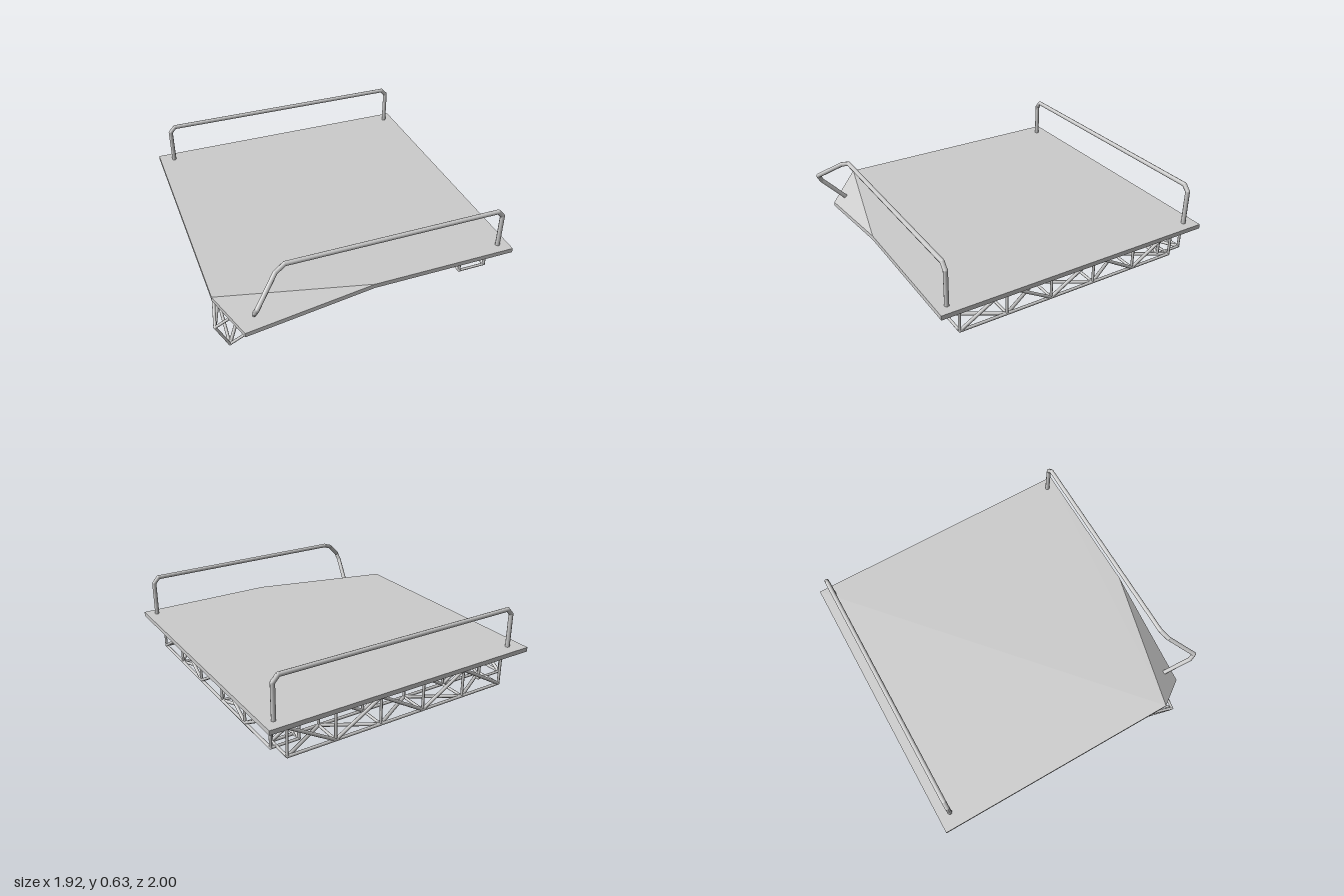
import * as THREE from 'three';
import { mergeGeometries } from 'three/addons/utils/BufferGeometryUtils.js';

const material = new THREE.MeshStandardMaterial({ color: 0xcccccc });
const flatMaterial = new THREE.MeshStandardMaterial({ color: 0xcccccc, flatShading: true });
const V = (x, y, z) => new THREE.Vector3(x, y, z);
const UP = V(0, 1, 0);

// Round bar between two points
function bar(a, b, radius) {
  const dir = b.clone().sub(a);
  const g = new THREE.CylinderGeometry(radius, radius, dir.length(), 8);
  g.applyQuaternion(new THREE.Quaternion().setFromUnitVectors(UP, dir.normalize()));
  const mid = a.clone().add(b).multiplyScalar(0.5);
  return g.translate(mid.x, mid.y, mid.z);
}

function joint(p, radius) {
  return new THREE.SphereGeometry(radius, 8, 6).translate(p.x, p.y, p.z);
}

function addMesh(group, name, geometry, mat = material) {
  const mesh = new THREE.Mesh(geometry, mat);
  mesh.name = name;
  group.add(mesh);
}

// Bent pipe through a list of points
function pipe(points, radius) {
  const parts = points.map((p) => joint(p, radius));
  for (let i = 1; i < points.length; i++) parts.push(bar(points[i - 1], points[i], radius));
  return mergeGeometries(parts);
}

// Box truss through square frames, with one zigzag diagonal per face
function truss(frames) {
  const parts = [];
  frames.forEach((frame, i) => {
    for (let k = 0; k < 4; k++) {
      const n = (k + 1) % 4;
      parts.push(joint(frame[k], 0.01), bar(frame[k], frame[n], 0.009));
      if (i === 0) continue;
      const last = frames[i - 1];
      parts.push(bar(last[k], frame[k], 0.01));
      const flip = (i + (k < 2 ? 0 : 1)) % 2;
      // Opposite faces run k -> n in opposite senses, so shift their phase to form crosses
      const swap = k < 2 ? flip : 1 - flip;
      const cross = (swap + (k < 2 ? 0 : 1)) % 2;
      const even = k < 2 ? cross === 0 : cross === 1;
      parts.push(even ? bar(last[k], frame[n], 0.011) : bar(last[n], frame[k], 0.011));
    }
  });
  return mergeGeometries(parts);
}

// Convex slab of constant vertical thickness, corners anticlockwise from above
function slab(corners, thickness) {
  const pos = [];
  const low = corners.map((c) => c.clone().setY(c.y - thickness));
  const tri = (...pts) => pts.forEach((p) => pos.push(p.x, p.y, p.z));
  corners.forEach((c, i) => {
    const n = (i + 1) % corners.length;
    if (i > 0 && n > 0) {
      tri(corners[0], c, corners[n]);
      tri(low[0], low[n], low[i]);
    }
    tri(c, low[i], low[n]);
    tri(c, low[n], corners[n]);
  });
  const g = new THREE.BufferGeometry();
  g.setAttribute('position', new THREE.Float32BufferAttribute(pos, 3));
  g.computeVertexNormals();
  return g;
}

// Square truss frame facing z, moved and rolled about its centre
function frameZ(cx, cy, z, roll = 0) {
  const h = 0.0925;
  return [[-h, -h], [h, -h], [h, h], [-h, h]].map(([x, y]) =>
    V(x, y, 0).applyAxisAngle(V(0, 0, 1), roll).add(V(cx, cy, z)));
}

export function createModel() {
  const model = new THREE.Group();
  model.name = 'damagedPlatform';

  // Deck with its front right corner folded down
  const foldA = V(-0.925, 0.365, 0.66);
  const foldB = V(0.02, 0.365, 0.895);
  addMesh(model, 'deck', slab(
    [foldA, foldB, V(0.975, 0.365, 0.895), V(0.975, 0.365, -1), V(-0.925, 0.365, -1)], 0.03), flatMaterial);
  addMesh(model, 'bentCorner', slab([foldA, V(-0.79, 0.22, 0.873), foldB], 0.03), flatMaterial);

  // Straight trusses under the left and back edges
  const cell = 0.316;
  const midY = 0.2325;
  const left = [], right = [], back = [];
  for (let i = 0; i <= 5; i++) {
    const z = -0.84 + i * cell;
    left.push(frameZ(0.795, midY, z));
    back.push(frameZ(-0.87, midY, -0.73 + i * cell).map((p) => V(p.z, p.y, p.x)));
    // Right truss twists and sags over its last two cells
    const bend = [0, 0, 0, 0, 0.25, 1][i];
    const cx = [-0.765, -0.765, -0.765, -0.765, -0.767, -0.815][i];
    right.push(frameZ(cx, midY - 0.08 * bend, z, 0.44 * bend));
  }
  addMesh(model, 'leftTruss', truss(left));
  addMesh(model, 'rightTruss', truss(right));
  addMesh(model, 'backTruss', truss(back));

  // Handrails, the front one crushed at its right end
  const r = 0.015;
  addMesh(model, 'backHandrail', pipe([
    V(-0.825, 0.35, -0.92), V(-0.825, 0.595, -0.92), V(-0.79, 0.633, -0.92),
    V(0.87, 0.633, -0.92), V(0.905, 0.595, -0.92), V(0.905, 0.35, -0.92)], r));
  addMesh(model, 'frontHandrail', pipe([
    V(0.905, 0.35, 0.825), V(0.905, 0.595, 0.825), V(0.87, 0.633, 0.825),
    V(-0.52, 0.633, 0.825), V(-0.585, 0.607, 0.85), V(-0.735, 0.488, 0.98),
    V(-0.745, 0.44, 0.955), V(-0.712, 0.29, 0.81)], r));

  return model;
}
